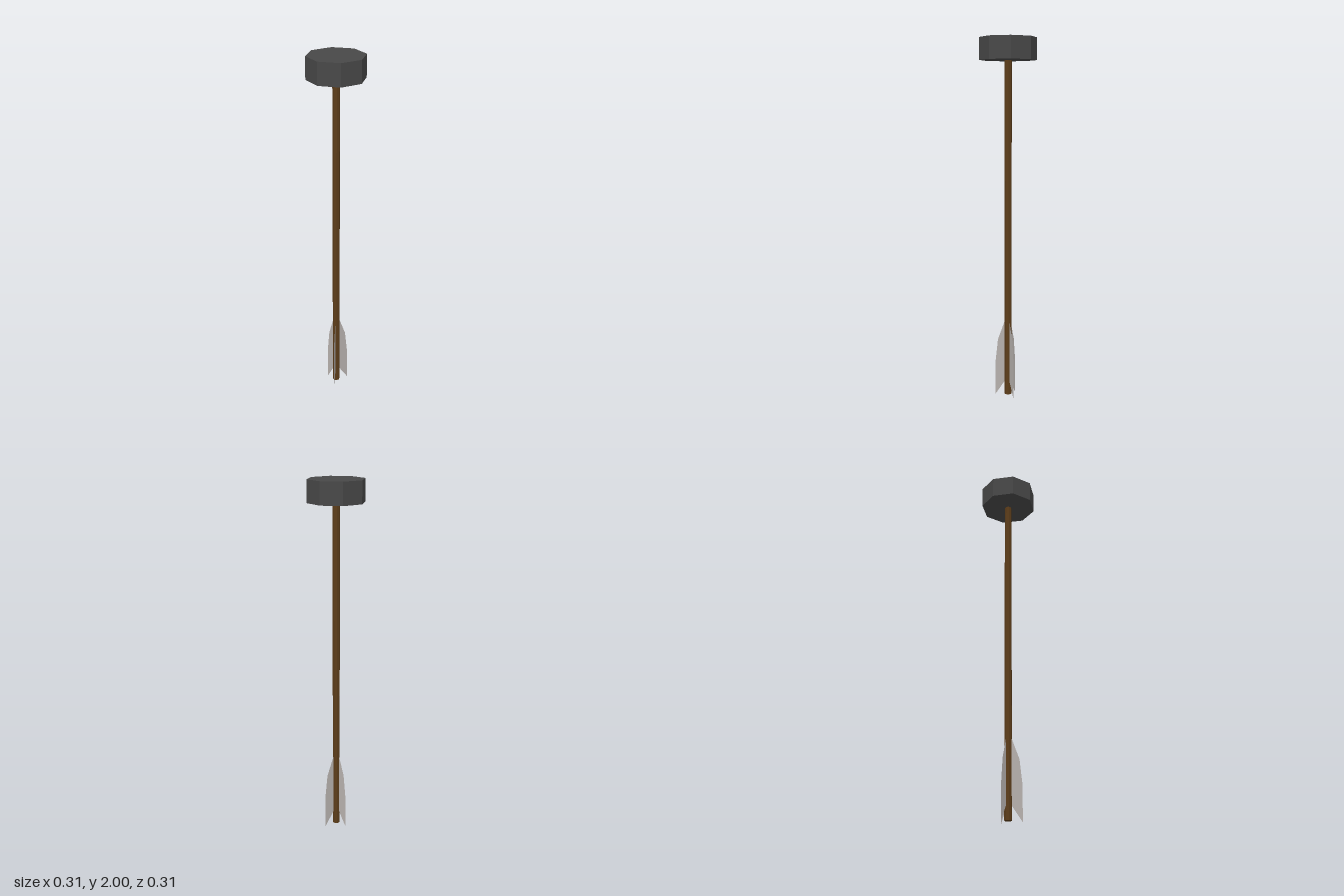
import * as THREE from 'three';

const material = (color, side = THREE.FrontSide) =>
  new THREE.MeshStandardMaterial({ color, side, flatShading: true });

// Eight-sided upright cylinder between two heights
function octagonRod(name, radius, bottom, top, color) {
  const geometry = new THREE.CylinderGeometry(radius, radius, top - bottom, 8);
  const mesh = new THREE.Mesh(geometry, material(color));
  mesh.name = name;
  mesh.position.y = (bottom + top) / 2;
  return mesh;
}

// Thin vane in the xy plane, reaching out from the shaft along +x
function vaneGeometry(reach) {
  const outline = [
    [0.01, 0.1], [0.02, 0.083], [reach, 0],
    [reach, 0.19], [reach * 0.8, 0.325], [0.02, 0.435], [0.01, 0.435],
  ].map(([x, y]) => new THREE.Vector2(x, y));
  return new THREE.ShapeGeometry(new THREE.Shape(outline));
}

export function createModel() {
  const group = new THREE.Group();
  group.name = 'bluntArrow';

  group.add(octagonRod('shaft', 0.02, 0.01, 1.9, 0x5c3d1a));
  group.add(octagonRod('bluntHead', 0.156, 1.88, 2, 0x484848));

  // Three vanes: two towards the front, one at the back
  const vaneMaterial = material(0xb5afac, THREE.DoubleSide);
  const vaneTips = { leftVane: [0.067, 0.032], rightVane: [-0.067, 0.032], backVane: [0, -0.063] };
  for (const [name, [x, z]] of Object.entries(vaneTips)) {
    const vane = new THREE.Mesh(vaneGeometry(Math.hypot(x, z)), vaneMaterial);
    vane.name = name;
    vane.rotation.y = Math.atan2(-z, x);
    group.add(vane);
  }
  return group;
}
